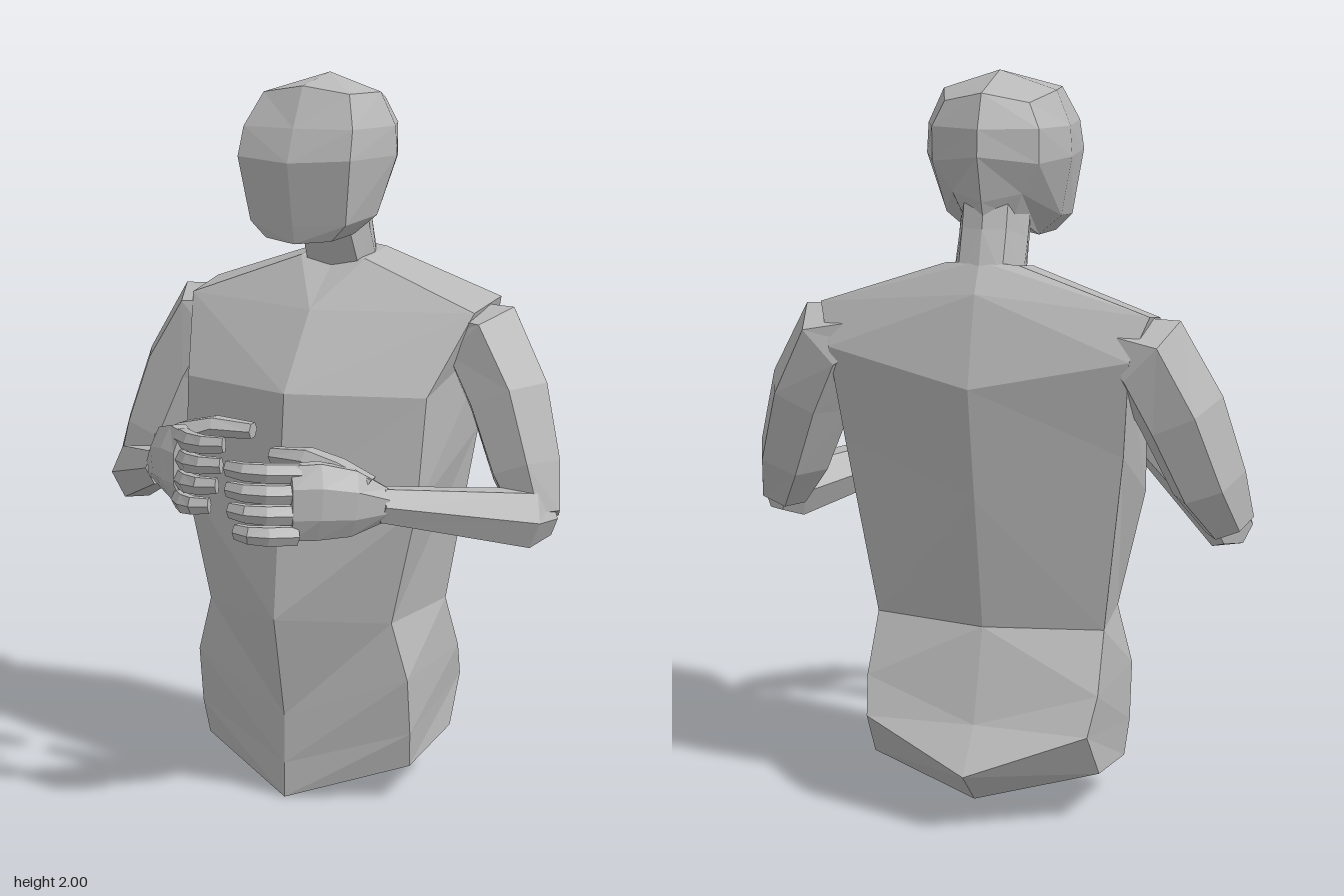
import * as THREE from 'three';

const V = (x, y, z) => new THREE.Vector3(x, y, z);

// Faceted skin over a list of rings, closed at both ends; diagonals mirror across the ring
function loft(rings, apex) {
  const pos = [];
  const tri = (...p) => p.forEach(v => pos.push(v.x, v.y, v.z));
  const n = rings[0].length;
  const middle = r => r.reduce((s, p) => s.add(p), V(0, 0, 0)).divideScalar(n);
  const first = rings[0], last = rings[rings.length - 1];
  const c0 = middle(first), c1 = apex || middle(last);
  for (let j = 0; j < n; j++) {
    const k = (j + 1) % n;
    for (let i = 0; i < rings.length - 1; i++) {
      const a = rings[i], b = rings[i + 1];
      if (j < n / 2) {
        tri(a[j], a[k], b[k]);
        tri(a[j], b[k], b[j]);
      } else {
        tri(a[j], a[k], b[j]);
        tri(a[k], b[k], b[j]);
      }
    }
    tri(c0, first[k], first[j]);
    tri(c1, last[j], last[k]);
  }
  const g = new THREE.BufferGeometry();
  g.setAttribute('position', new THREE.Float32BufferAttribute(pos, 3));
  g.computeVertexNormals();
  return g;
}

// Full ring from its left half, listed front centre to back centre
function mirrorRing(half) {
  const left = half.map(p => V(...p));
  const right = half.slice(1, -1).reverse().map(([x, y, z]) => V(-x, y, z));
  return left.concat(right);
}

// Limb along stations [x, y, z, radius along ref, radius across]
function limb(stations, ref, sides) {
  const c = stations.map(s => V(s[0], s[1], s[2]));
  return loft(stations.map((s, i) => {
    const t = c[Math.min(i + 1, c.length - 1)].clone().sub(c[Math.max(i - 1, 0)]).normalize();
    const a = ref.clone().addScaledVector(t, -ref.dot(t)).normalize();
    const b = t.clone().cross(a);
    const k = 1 / Math.cos(Math.PI / sides);
    return Array.from({ length: sides }, (_, j) => {
      const q = (j + 0.5) / sides * Math.PI * 2;
      return c[i].clone().addScaledVector(a, Math.cos(q) * s[3] * k)
        .addScaledVector(b, Math.sin(q) * s[4] * k);
    });
  }));
}

export function createModel() {
  const model = new THREE.Group();
  model.name = 'mannequinBust';
  const grey = new THREE.MeshStandardMaterial({ color: 0xb8b8b8 });
  grey.name = 'grey';
  const add = (name, geometry, parent = model) => {
    const m = new THREE.Mesh(geometry, grey);
    m.name = name;
    parent.add(m);
  };

  // Torso, from hips to the base of the neck
  add('torso', loft([
    [[0, 0, .12], [.32, .1, -.02], [.32, .14, -.29], [0, .07, -.39]],
    [[0, .1, .12], [.33, .2, 0], [.31, .27, -.38], [0, .165, -.49]],
    [[0, .24, .12], [.33, .36, .02], [.325, .37, -.33], [0, .28, -.395]],
    [[0, .53, .18], [.285, .52, .03], [.32, .53, -.25], [0, .53, -.315]],
    [[0, .83, .15], [.36, .85, .035], [.385, 1.02, -.315], [0, .9, -.382]],
    [[0, 1.15, .12], [.37, 1.15, 0], [.41, 1.28, -.365], [0, 1.2, -.435]],
    [[0, 1.36, -.03], [.44, 1.365, -.15], [.45, 1.392, -.31], [0, 1.44, -.375]],
    [[0, 1.47, -.16], [.1, 1.49, -.17], [.1, 1.51, -.31], [0, 1.52, -.33]],
  ].map(mirrorRing)));

  // Neck
  add('neck', loft([
    [[0, 1.44, -.17], [.08, 1.45, -.18], [.095, 1.46, -.26], [.06, 1.48, -.33], [0, 1.48, -.345]],
    [[0, 1.56, -.12], [.075, 1.56, -.13], [.095, 1.57, -.21], [.06, 1.6, -.29], [0, 1.6, -.31]],
    [[0, 1.66, -.1], [.075, 1.66, -.11], [.095, 1.66, -.18], [.06, 1.68, -.27], [0, 1.68, -.29]],
  ].map(mirrorRing)));

  // Head, from jaw to crown
  add('head', loft([
    [[0, 1.55, .06], [.1, 1.56, .035], [.095, 1.565, -.11], [.07, 1.63, -.25], [0, 1.63, -.3]],
    [[0, 1.6, .07], [.145, 1.605, .04], [.16, 1.62, -.12], [.095, 1.69, -.265], [0, 1.67, -.315]],
    [[0, 1.77, .1], [.17, 1.78, .065], [.2, 1.78, -.16], [.145, 1.77, -.28], [0, 1.79, -.35]],
    [[0, 1.86, .065], [.165, 1.86, .04], [.195, 1.86, -.16], [.145, 1.86, -.28], [0, 1.86, -.345]],
    [[0, 1.97, .01], [.13, 1.95, -.01], [.155, 1.95, -.15], [.115, 1.925, -.265], [0, 1.95, -.31]],
  ].map(mirrorRing), V(0, 2, -.15)));

  // Arms and hands; the right hand is held a little higher
  for (const [side, s, lift] of [['left', 1, 0], ['right', -1, .06]]) {
    const arm = new THREE.Group();
    arm.name = side + 'Arm';
    model.add(arm);
    const part = (name, stations, ref, sides, up) => add(name, limb(
      stations.map(([x, y, z, a, b]) => [s * x, y + up, z, a, b]), ref, sides), arm);
    const Y = V(0, 1, 0), Z = V(0, 0, 1);

    part('upperArm', [
      [.32, 1.315, -.25, .09, .06], [.43, 1.285, -.245, .122, .108], [.515, 1.13, -.222, .117, .105],
      [.585, .94, -.187, .1, .09], [.635, .82, -.15, .06, .06],
    ], Z, 6, 0);
    part('forearm', [
      [.65, .825, -.17, .05, .045], [.62, .825, -.115, .075, .062],
      [.335, .9 + lift / 2, .21, .045, .038],
    ], Y, 6, 0);
    part('palm', [
      [.345, .9 - lift / 2, .2, .045, .036], [.28, .91, .262, .088, .048],
      [.21, .92, .325, .102, .05], [.155, .92, .377, .1, .036],
    ], Y, 8, lift);

    // Four stacked fingers, curling in towards the middle, the lower ones further out
    [0, .005, .015, .035].forEach((short, i) => {
      const y = .997 - i * .054, out = i * .006;
      part('finger' + (i + 1), [
        [.175, y, .36 + out, .025, .022], [.11 + short * .4, y + .006, .424 + out, .025, .021],
        [.06 + short * .7, y + .01, .448 + out, .023, .018], [.005 + short, y + .012, .438 + out, .02, .015],
      ], Y, 6, lift);
    });

    // Thumb, behind and above the fingers
    part('thumb', [
      [.3, .93, .235, .05, .04], [.22, .98, .25, .04, .045],
      [.14, 1.01, .245, .027, .034], [.03, 1.008, .238, .02, .022],
    ], Y, 6, lift);
  }
  return model;
}
